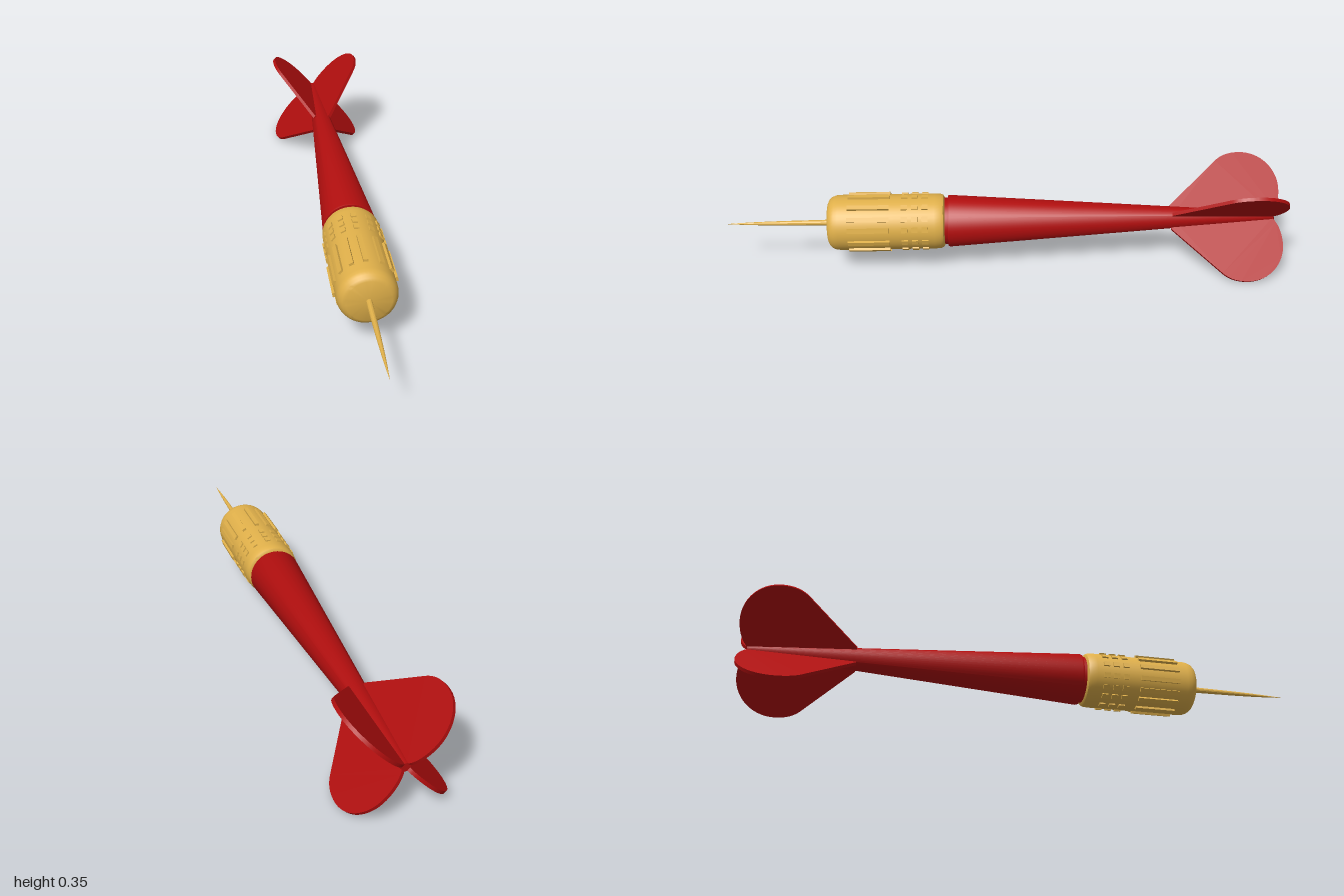
import * as THREE from 'three';
import { toCreasedNormals } from 'three/addons/utils/BufferGeometryUtils.js';

const AXIS_Y = 0.175;
const gold = new THREE.MeshStandardMaterial({ color: 0xe0b04a });
const red = new THREE.MeshStandardMaterial({ color: 0xb00e0e });

// Round part along z from [radius, z] pairs, listed back to front
function turned(name, profile, material, sides = 48) {
  const points = profile.map(([r, z]) => new THREE.Vector2(r, z));
  const geometry = new THREE.LatheGeometry(points, sides).rotateX(Math.PI / 2);
  const mesh = new THREE.Mesh(toCreasedNormals(geometry, 0.6), material);
  mesh.name = name;
  return mesh;
}

// Raised grip block on the barrel surface
function gripBlock(name, angle, z, length, width, top) {
  const mesh = new THREE.Mesh(new THREE.BoxGeometry(0.02, width, length), gold);
  mesh.name = name;
  mesh.position.set(Math.cos(angle) * (top - 0.01), Math.sin(angle) * (top - 0.01), z);
  mesh.rotation.z = angle;
  return mesh;
}

// Flight fin outline: x runs backwards, y runs outwards from the axis
function finGeometry() {
  const thickness = 0.012;
  const s = new THREE.Shape();
  s.moveTo(0.6, 0);
  s.lineTo(0.6, 0.045);
  s.lineTo(0.775, 0.21);
  s.bezierCurveTo(0.8, 0.233, 0.83, 0.241, 0.865, 0.241);
  s.bezierCurveTo(0.945, 0.241, 1, 0.175, 1, 0.105);
  s.bezierCurveTo(1, 0.06, 0.985, 0.025, 0.968, 0.01);
  s.lineTo(0.968, 0);
  s.closePath();
  const geometry = new THREE.ExtrudeGeometry(s, { depth: thickness, bevelEnabled: false, curveSegments: 16 });
  geometry.translate(0, 0, -thickness / 2).rotateY(Math.PI / 2);
  return toCreasedNormals(geometry, 0.6);
}

export function createModel() {
  const dart = new THREE.Group();
  dart.name = 'dart';
  const body = new THREE.Group();
  body.name = 'body';
  body.position.y = AXIS_Y;
  dart.add(body);

  // Needle
  body.add(turned('needle', [
    [0.011, 0.6], [0.01, 0.66], [0.008, 0.8], [0.006, 0.88], [0.003, 0.95], [0, 1],
  ], gold, 12));

  // Barrel with rounded ends
  body.add(turned('barrel', [
    [0, 0.215], [0.086, 0.215], [0.094, 0.22], [0.098, 0.23], [0.099, 0.25],
    [0.099, 0.59], [0.097, 0.604], [0.092, 0.616], [0.084, 0.625], [0.074, 0.63], [0, 0.632],
  ], gold));

  // Neck and tapered shaft
  body.add(turned('neck', [[0.084, 0.19], [0.084, 0.222]], red));
  body.add(turned('shaft', [
    [0, -0.97], [0.015, -0.97], [0.093, 0.197], [0.091, 0.203], [0, 0.203],
  ], red));

  // Grip: long ribs in front, three rows of small studs behind
  const degrees = [13, 35, 60, 90, 116, 140, 165, 191, 215, 235, 260, 289, 317, 344];
  const grip = new THREE.Group();
  grip.name = 'grip';
  for (const d of degrees) {
    const angle = THREE.MathUtils.degToRad(d);
    grip.add(gripBlock('gripRib', angle, 0.483, 0.147, 0.016, 0.107));
    for (const z of [0.284, 0.32, 0.356]) {
      grip.add(gripBlock('gripStud', angle, z, 0.022, 0.018, 0.104));
    }
  }
  body.add(grip);

  // Four fins in a diagonal cross
  const fin = finGeometry();
  for (let i = 0; i < 4; i++) {
    const mesh = new THREE.Mesh(fin, red);
    mesh.name = 'fin';
    mesh.rotation.z = Math.PI / 4 + (i * Math.PI) / 2;
    body.add(mesh);
  }
  return dart;
}
